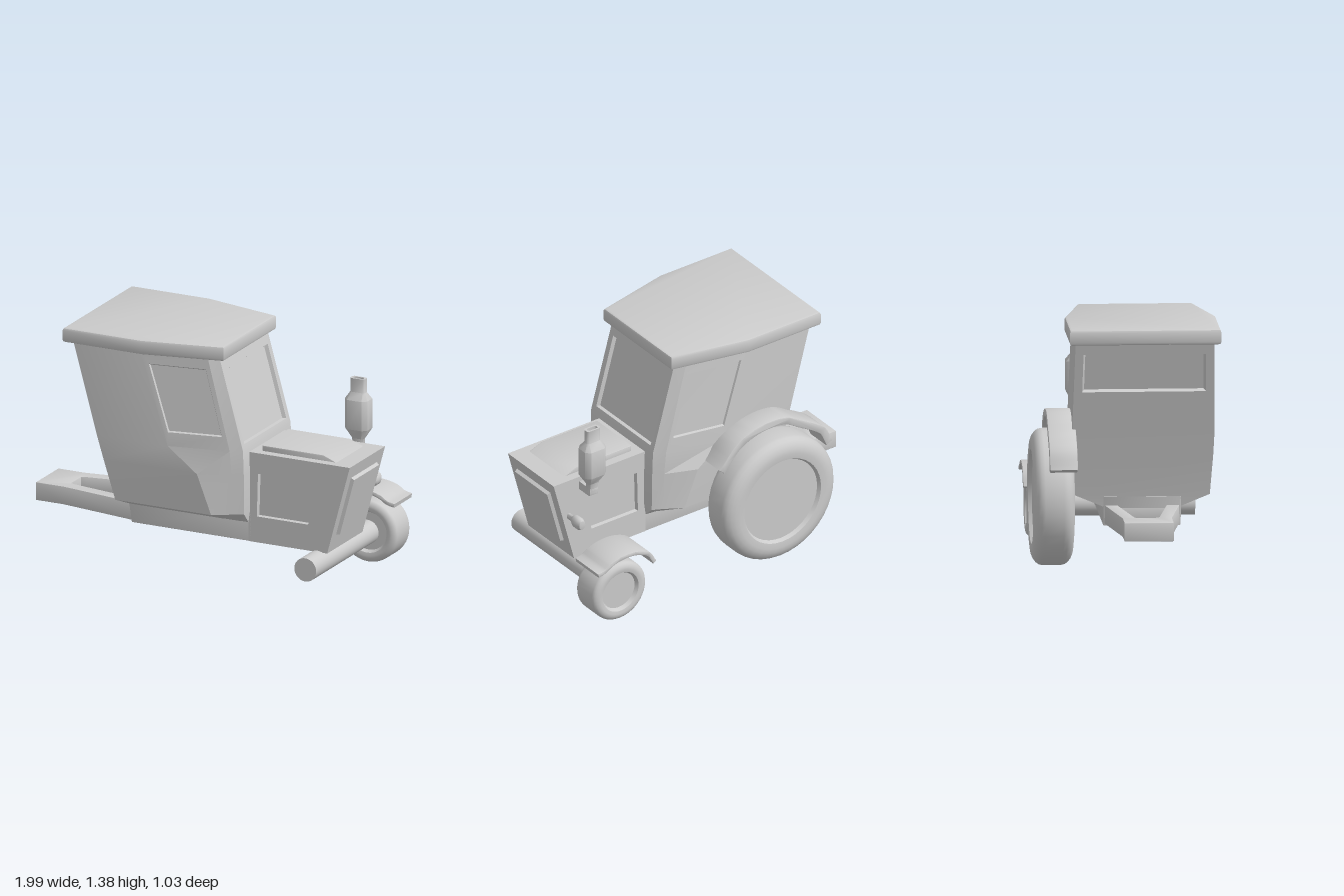
import * as THREE from 'three';
import { toCreasedNormals } from 'three/addons/utils/BufferGeometryUtils.js';

const ZC = 0.095; // z of the tractor's centre line; it faces +x
const mat = new THREE.MeshStandardMaterial({ color: 0xcccccc, side: THREE.DoubleSide });
const V = (x, y, z) => new THREE.Vector3(x, y, z);

export function createModel() {
  const group = new THREE.Group();

  function add(name, geometry, crease = 0.6) {
    const mesh = new THREE.Mesh(toCreasedNormals(geometry, crease), mat);
    mesh.name = name;
    group.add(mesh);
    return mesh;
  }

  // Quad a, b, c, d runs counter-clockwise seen from outside, from bottom left
  const quad = (out, a, b, c, d) => out.push(a, b, c, a, c, d);

  // Quad with an inner panel sunk by depth (negative depth raises it)
  function panel(out, q, u0, u1, v0, v1, depth) {
    const at = (u, v) => q[0].clone().lerp(q[1], u).lerp(q[3].clone().lerp(q[2], u), v);
    const rim = [at(u0, v0), at(u1, v0), at(u1, v1), at(u0, v1)];
    const n = q[1].clone().sub(q[0]).cross(q[3].clone().sub(q[0])).normalize();
    const mid = at((u0 + u1) / 2, (v0 + v1) / 2);
    const inner = rim.map(p => p.clone().lerp(mid, 0.035).addScaledVector(n, -depth));
    for (let i = 0; i < 4; i++) {
      const j = (i + 1) % 4;
      quad(out, q[i], q[j], rim[j], rim[i]);
      quad(out, rim[i], rim[j], inner[j], inner[i]);
    }
    quad(out, ...inner);
  }

  // Skin between stacked rings; panels maps "level,side" to inset settings
  function loft(rings, panels = {}) {
    const out = [];
    for (let l = 0; l < rings.length - 1; l++) {
      const lo = rings[l], hi = rings[l + 1];
      lo.forEach((p, i) => {
        const j = (i + 1) % lo.length;
        const q = [p, lo[j], hi[j], hi[i]];
        const inset = panels[`${l},${i}`];
        if (inset) panel(out, q, ...inset);
        else quad(out, ...q);
      });
    }
    return new THREE.BufferGeometry().setFromPoints(out);
  }

  // Outline in x, y extruded from z0 to z1 with softened edges
  function slab(points, z0, z1, bevel = 0.01, hole) {
    const shape = new THREE.Shape(points.map(p => new THREE.Vector2(...p)));
    if (hole) shape.holes.push(new THREE.Path(hole.map(p => new THREE.Vector2(...p))));
    return new THREE.ExtrudeGeometry(shape, {
      depth: z1 - z0 - 2 * bevel, bevelEnabled: bevel > 0, bevelSize: bevel,
      bevelOffset: -bevel, bevelThickness: bevel, bevelSegments: 2,
    }).translate(0, 0, z0 + bevel);
  }

  // Plan outline in x, z raised from y0 to y1
  const plate = (points, y0, y1, bevel, hole) =>
    slab(points, y0, y1, bevel, hole).rotateX(-Math.PI / 2).translate(0, 0, ZC);

  // Cab: [y, back x, fold x, corner x, front x, half width, corner half, front half]
  const cabRings = [
    [0.35, -0.37, 0.2, 0.31, 0.36, 0.21, 0.21, 0.21],
    [0.42, -0.385, 0.21, 0.31, 0.37, 0.375, 0.315, 0.285],
    [0.65, -0.45, 0.13, 0.31, 0.37, 0.39, 0.32, 0.29],
    [0.79, -0.49, -0.05, 0.3, 0.365, 0.395, 0.325, 0.29],
    [1.31, -0.64, -0.22, 0.165, 0.22, 0.385, 0.325, 0.29],
  ].map(([y, xb, xf, xc, xr, w, hc, hr]) => {
    const half = [[xb, w], [xf, w], [xc, hc], [xr, hr]];
    return [...half.map(([x, z]) => V(x, y, ZC + z)),
      ...half.reverse().map(([x, z]) => V(x, y, ZC - z))];
  });
  const doorWindow = [0.07, 0.93, 0.15, 0.88, 0.012];
  add('cab', loft(cabRings, {
    '3,1': doorWindow, '3,5': doorWindow,
    '3,3': [0.06, 0.94, 0.06, 0.86, 0.02],
    '3,7': [0.06, 0.94, 0.45, 0.87, 0.03],
  }), 0.25);
  add('roof', plate([[-0.69, -0.42], [-0.2, -0.42], [0.26, -0.32], [0.26, 0.32],
    [-0.2, 0.42], [-0.69, 0.42]], 1.305, 1.39, 0.015));

  // Hood with sunken side panels and a raised grille
  const zl = 0.31, zr = -0.12, hood = [];
  const L = [V(0.36, 0.245, zl), V(0.85, 0.245, zl), V(0.99, 0.765, zl), V(0.36, 0.765, zl)];
  const R = L.map(p => V(p.x, p.y, zr));
  panel(hood, L, 0.1, 0.7, 0.29, 0.77, 0.02);
  panel(hood, [R[1], R[0], R[3], R[2]], 0.3, 0.9, 0.29, 0.77, 0.02);
  panel(hood, [L[1], R[1], R[2], L[2]], 0.13, 0.86, 0.19, 0.85, -0.02);
  quad(hood, L[3], L[2], R[2], R[3]);
  quad(hood, L[1], L[0], R[0], R[1]);
  add('hood', new THREE.BufferGeometry().setFromPoints(hood), 0.2);
  add('hoodLid', slab([[0.42, 0.75], [0.92, 0.75], [0.8, 0.797], [0.42, 0.797]], -0.07, 0.26, 0.008));

  // Chassis and drawbar
  add('chassis', slab([[-0.365, 0.245], [0.38, 0.245], [0.38, 0.41], [-0.39, 0.41]], zr, zl, 0.004));
  add('drawbar', plate(
    [[-1, -0.137], [-0.83, -0.137], [-0.35, -0.21], [-0.35, 0.21], [-0.83, 0.137], [-1, 0.137]],
    0.255, 0.36, 0.004,
    [[-0.82, -0.06], [-0.82, 0.06], [-0.79, 0.07], [-0.38, 0.135], [-0.38, -0.135], [-0.79, -0.07]]));

  // Wheels with rounded tyres and sunken hubs
  function wheel(name, x, y, z, r, half, hub, round) {
    const side = [[0, half - 0.025], [hub, half - 0.025], [hub + 0.012, half - 0.004]];
    for (let i = 0; i <= 5; i++) {
      const a = (i / 5) * Math.PI / 2;
      side.push([r - round + round * Math.sin(a), half - round * 0.75 * (1 - Math.cos(a))]);
    }
    const profile = [...side.map(([a, b]) => [a, -b]), ...side.reverse()];
    add(name, new THREE.LatheGeometry(profile.map(p => new THREE.Vector2(...p)), 40)
      .rotateX(Math.PI / 2).translate(x, y, z), 0.7);
  }
  wheel('rearWheel', -0.29, 0.4, -0.405, 0.38, 0.115, 0.25, 0.085);
  wheel('frontWheel', 0.79, 0.185, -0.385, 0.18, 0.095, 0.11, 0.04);
  add('frontAxle', new THREE.CylinderGeometry(0.068, 0.068, 0.76, 32)
    .rotateX(Math.PI / 2).translate(0.79, 0.185, 0.08));

  // Fenders: curved strips of even thickness
  function fender(name, path, thickness, z0, z1) {
    const curve = new THREE.CatmullRomCurve3(path.map(([x, y]) => V(x, y, 0)), false, 'centripetal');
    const outer = [], inner = [];
    for (let i = 0; i <= 24; i++) {
      const p = curve.getPoint(i / 24), t = curve.getTangent(i / 24);
      outer.push([p.x, p.y]);
      inner.push([p.x + t.y * thickness, p.y - t.x * thickness]);
    }
    add(name, slab([...outer, ...inner.reverse()], z0, z1, 0.006));
  }
  fender('rearFender', [[-0.69, 0.61], [-0.64, 0.71], [-0.49, 0.81], [-0.37, 0.875],
    [-0.2, 0.88], [-0.04, 0.82], [0.08, 0.69]], 0.045, -0.435, -0.28);
  fender('frontFender', [[0.565, 0.32], [0.61, 0.39], [0.71, 0.43], [0.81, 0.43],
    [0.88, 0.41], [0.92, 0.385], [0.965, 0.375]], 0.025, -0.505, -0.285);

  // Exhaust: [y, half x, half z], hollow at the top
  const exhaust = [[0.7, 0.03, 0.02], [0.76, 0.035, 0.02], [0.82, 0.07, 0.055], [0.99, 0.07, 0.055],
    [1.03, 0.045, 0.022], [1.11, 0.045, 0.022], [1.11, 0.032, 0.012], [1.05, 0.032, 0.012],
    [1.05, 0.001, 0.001]].map(([y, hx, hz]) => {
    const c = Math.min(hx, hz) * 0.45;
    return [[-hx + c, hz], [hx - c, hz], [hx, hz - c], [hx, c - hz],
      [hx - c, -hz], [c - hx, -hz], [-hx, c - hz], [-hx, hz - c]]
      .map(([x, z]) => V(0.785 + x, y, -0.2 + z));
  });
  add('exhaust', loft(exhaust), 0.85);
  add('exhaustElbow', slab([[0.755, 0.685], [0.815, 0.685], [0.815, 0.735], [0.755, 0.735]], -0.22, -0.1, 0.008));

  // Side lamp on a short neck
  const lamp = [[0, -0.065], [0.026, -0.06], [0.036, -0.04], [0.036, 0], [0.028, 0.015],
    [0.018, 0.03], [0.018, 0.08]];
  add('sideLamp', new THREE.LatheGeometry(lamp.map(p => new THREE.Vector2(...p)), 16)
    .rotateX(Math.PI / 2).scale(0.8, 1.05, 1).translate(0.885, 0.535, -0.185), 0.9);

  return group;
}
